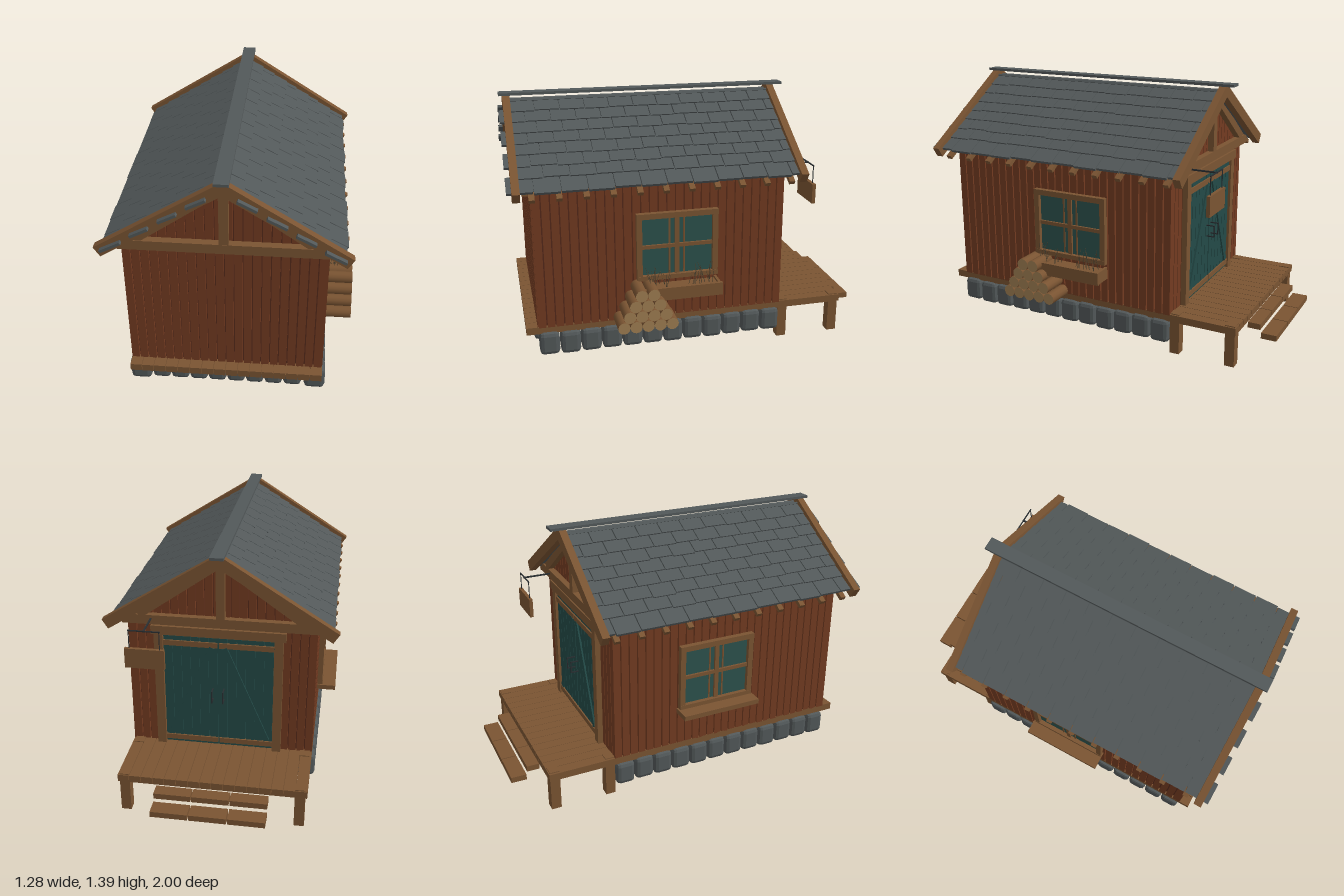
import * as THREE from 'three';
import { RoundedBoxGeometry } from 'three/addons/geometries/RoundedBoxGeometry.js';

const mat = (name, color) => {
  const m = new THREE.MeshStandardMaterial({ color });
  m.name = name;
  return m;
};

export function createModel() {
  const M = {
    red: mat('red boards', 0x733b21),
    gap: mat('dark board gaps', 0x55291a),
    wood: mat('timber', 0x7a5432),
    slate: mat('slate and stone', 0x525859),
    door: mat('door green', 0x234a47),
    glass: mat('window glass', 0x2c524d),
    cut: mat('cut log end', 0xa07e52),
    iron: mat('dark iron', 0x2a2f32),
    twig: mat('plant twigs', 0x4c4230),
    boat: mat('boat timber', 0xa66c38),
  };
  const root = new THREE.Group();
  root.name = 'boathouse';
  const group = (name) => { const g = new THREE.Group(); g.name = name; root.add(g); return g; };
  const add = (parent, name, geo, material) => {
    const m = new THREE.Mesh(geo, material);
    m.name = name;
    parent.add(m);
    return m;
  };
  // box given by its min and max corners
  const box = (parent, name, material, x0, x1, y0, y1, z0, z1) => {
    const m = add(parent, name, new THREE.BoxGeometry(x1 - x0, y1 - y0, z1 - z0), material);
    m.position.set((x0 + x1) / 2, (y0 + y1) / 2, (z0 + z1) / 2);
    return m;
  };
  let seed = 7;
  const rnd = () => (seed = (seed * 16807) % 2147483647) / 2147483647;

  const CX = -0.025, HW = 0.505, ZF = 0.88, ZB = -0.475;
  const RIDGE = 1.395, SLOPE = 0.63, A = Math.atan(SLOPE), C = Math.cos(A), S = Math.sin(A);

  // box lying on a roof slope: d runs down from the ridge, off is height above the slope line
  const onSlope = (parent, name, material, s, d0, d1, off, thick, z0, z1, tilt = 0) => {
    const d = (d0 + d1) / 2;
    const m = add(parent, name, new THREE.BoxGeometry(d1 - d0, thick, z1 - z0), material);
    m.position.set(CX + s * (d * C + off * S), RIDGE - d * S + off * C, (z0 + z1) / 2);
    m.rotation.z = -s * (A - tilt);
    return m;
  };

  // floor planks running through to the rear deck
  const floor = group('floor');
  for (let i = 0; i < 16; i++) {
    const x = -0.53 + i * 0.0632;
    box(floor, 'floorPlank', M.wood, x, x + 0.0602, 0.19, 0.23, -0.845, 0.94);
  }
  box(floor, 'subfloor', M.wood, CX - 0.49, CX + 0.49, 0.184, 0.2, -0.48, 0.92);
  box(floor, 'deckJoist', M.wood, CX - 0.49, CX + 0.49, 0.175, 0.195, -0.825, -0.8);
  for (const s of [-1, 1]) {
    for (const z of [-0.5, -0.812]) {
      const x = CX + s * 0.467;
      box(floor, 'deckLeg', M.wood, x - 0.027, x + 0.027, 0.005, 0.235, z - 0.027, z + 0.027);
    }
  }
  const steps = group('steps');
  for (let i = 0; i < 3; i++) {
    const x = -0.33 + i * 0.202;
    box(steps, 'upperStep', M.wood, x, x + 0.196, 0.148, 0.18, -0.91, -0.84);
    box(steps, 'lowerStep', M.wood, x, x + 0.196, 0.1, 0.132, -1, -0.915);
  }

  // chamfered foundation stones
  const base = group('foundation');
  const stone = (x, y, z, w, h, d) => {
    const geo = new RoundedBoxGeometry(w, h, d, 1, 0.022);
    geo.computeVertexNormals();
    add(base, 'stone', geo, M.slate).position.set(x, y, z);
  };
  for (let i = 0; i < 12; i++) {
    for (const s of [-1, 1]) stone(CX + s * 0.468, 0.127 + rnd() * 0.006, 0.82 - i * 0.1125, 0.112, 0.13, 0.106);
  }
  for (let i = 0; i < 8; i++) {
    for (const z of [0.845, -0.445]) stone(CX - 0.35 + i * 0.1, 0.145, z, 0.097, 0.092, 0.1);
  }

  // vertical wall boards; gable boards rise to the roof
  const walls = group('walls');
  const N = 22, bw = (2 * HW) / N;
  for (let i = 0; i < N; i++) {
    const x = CX - HW + i * bw;
    const reach = Math.max(Math.abs(x - CX), Math.abs(x + bw - CX));
    const top = Math.min(RIDGE - 0.07 - SLOPE * reach, 1.33);
    box(walls, 'frontBoard', M.red, x, x + bw - 0.006, 0.225, top, ZF - 0.02, ZF);
    box(walls, 'backBoard', M.red, x, x + bw - 0.006, 0.225, top, ZB, ZB + 0.02);
  }
  const gable = new THREE.Shape([[-0.49, 0.22], [0.49, 0.22], [0.49, 1.0], [0, 1.31], [-0.49, 1.0]]
    .map(([x, y]) => new THREE.Vector2(x, y)));
  for (const z of [ZF - 0.027, ZB + 0.017]) {
    add(walls, 'gableBacking', new THREE.ExtrudeGeometry(gable, { depth: 0.01, bevelEnabled: false }), M.gap)
      .position.set(CX, 0, z);
  }
  const NS = 29, sw = (ZF - ZB) / NS;
  for (const s of [-1, 1]) {
    const x = CX + s * (HW - 0.01);
    for (let i = 0; i < NS; i++) {
      const z = ZB + i * sw;
      box(walls, 'sideBoard', M.red, x - 0.01, x + 0.01, 0.225, 1.0, z, z + sw - 0.007);
    }
    box(walls, 'sideBacking', M.gap, x - s * 0.012 - 0.005, x - s * 0.012 + 0.005, 0.22, 1.0, ZB + 0.01, ZF - 0.01);
  }

  // roof: underlay, rafter tails, staggered slates, barge boards and gable trusses
  const roof = group('roof');
  for (const s of [-1, 1]) {
    onSlope(roof, 'underlay', M.slate, s, 0, 0.68, -0.044, 0.012, -0.53, 0.94);
    for (let i = 0; i < 11; i++) {
      const z = -0.485 + i * 0.136;
      onSlope(roof, 'rafter', M.wood, s, 0.5, 0.735, -0.054, 0.022, z - 0.015, z + 0.015);
    }
    for (let r = 0; r < 8; r++) {
      const d = (0.54 - r * 0.068) / C;
      const start = r % 2 ? -0.54 : -0.485;
      const end = r === 0 ? 0.064 : 0.045;
      for (let i = 0; i < 11; i++) {
        const z = start + i * 0.135;
        onSlope(roof, 'slateTile', M.slate, s, d - 0.05, d + end + rnd() * 0.01, -0.03, 0.014, z, z + 0.13, 0.08);
      }
      if (r % 2 === 0) onSlope(roof, 'slateTile', M.slate, s, d - 0.05, d + end, -0.03, 0.014, -0.53, -0.49, 0.08);
    }
    for (const z of [0.93, -0.57]) onSlope(roof, 'bargeBoard', M.wood, s, 0, 0.73, -0.03, 0.06, z, z + 0.04);
    for (const z of [ZF, ZB - 0.035]) {
      onSlope(roof, 'trussRafter', M.wood, s, 0.04, 0.57, -0.069, 0.047, z, z + 0.035, -0.055);
    }
  }
  for (const z of [ZF, ZB - 0.035]) {
    box(roof, 'tieBeam', M.wood, CX - 0.527, CX + 0.527, 0.968, 1.02, z, z + 0.04);
    box(roof, 'kingPost', M.wood, CX - 0.023, CX + 0.023, 1.02, 1.345, z, z + 0.038);
  }
  box(roof, 'ridgeCap', M.slate, CX - 0.036, CX + 0.036, 1.384, 1.398, -0.62, 0.99);

  // side windows
  for (const s of [-1, 1]) {
    const win = group(s > 0 ? 'leftWindow' : 'rightWindow');
    const wx = CX + s * HW;
    const part = (name, m, depth, y0, y1, z0, z1) =>
      box(win, name, m, Math.min(wx, wx + s * depth), Math.max(wx, wx + s * depth), y0, y1, z0, z1);
    part('glass', M.glass, 0.006, 0.46, 0.81, -0.085, 0.33);
    part('frameTop', M.wood, 0.03, 0.795, 0.825, -0.1, 0.345);
    part('frameBottom', M.wood, 0.03, 0.45, 0.475, -0.1, 0.345);
    for (const z of [-0.1, 0.315]) part('frameSide', M.wood, 0.028, 0.45, 0.82, z, z + 0.03);
    part('mullion', M.wood, 0.018, 0.475, 0.8, 0.112, 0.136);
    part('mullion', M.wood, 0.018, 0.625, 0.645, -0.08, 0.32);
    for (const z of [0.08, 0.16]) part('casementEdge', M.wood, 0.01, 0.475, 0.8, z, z + 0.009);
    if (s < 0) {
      part('sill', M.wood, 0.105, 0.425, 0.452, -0.11, 0.35);
      continue;
    }
    // planter box with twiggy plants
    part('planterBottom', M.wood, 0.105, 0.365, 0.38, -0.1, 0.345);
    box(win, 'planterFront', M.wood, wx + 0.096, wx + 0.114, 0.365, 0.435, -0.105, 0.35);
    for (const z of [-0.1, 0.33]) part('planterEnd', M.wood, 0.1, 0.365, 0.432, z, z + 0.015);
    part('soil', M.wood, 0.097, 0.4, 0.42, -0.09, 0.335);
    for (let i = 0; i < 30; i++) {
      const h = 0.05 + rnd() * 0.07;
      const t = add(win, 'twig', new THREE.CylinderGeometry(0.001, 0.0015, h, 4), M.twig);
      t.position.set(wx + 0.025 + rnd() * 0.05, 0.42 + h / 2, (i % 2 ? 0.0 : 0.23) + (rnd() - 0.5) * 0.14);
      t.rotation.set((rnd() - 0.5) * 0.7, 0, (rnd() - 0.5) * 0.4);
    }
  }

  // log pile
  const logs = group('logPile');
  const logGeo = new THREE.CylinderGeometry(0.033, 0.033, 0.15, 12);
  for (let r = 0; r < 4; r++) {
    for (let i = 0; i < 5 - r; i++) {
      const log = add(logs, 'log', logGeo, [M.wood, M.cut, M.cut]);
      log.rotation.z = -Math.PI / 2;
      log.position.set(0.564, 0.248 + r * 0.058, 0.443 - r * 0.032 - i * 0.065);
    }
  }

  // double doors at the rear
  const doors = group('doubleDoors');
  const DX = -0.01;
  box(doors, 'doorBacking', M.door, DX - 0.3, DX + 0.3, 0.235, 0.91, ZB - 0.008, ZB);
  for (const s of [-1, 1]) {
    for (let i = 0; i < 6; i++) {
      const x = DX + s * (0.027 + i * 0.049);
      box(doors, 'doorBoard', M.door, x - 0.0225, x + 0.0225, 0.24, 0.9, ZB - 0.016, ZB - 0.004);
    }
    const brace = add(doors, 'doorBrace', new THREE.BoxGeometry(0.03, 0.6, 0.01), M.door);
    brace.position.set(DX + s * 0.15, 0.57, ZB - 0.02);
    brace.rotation.z = s * 0.4;
    const p = DX + s * 0.322;
    box(doors, 'doorPost', M.wood, p - 0.024, p + 0.024, 0.23, 0.91, ZB - 0.03, ZB);
    for (const y of [0.27, 0.86]) {
      const x = DX + s * 0.15;
      box(doors, 'doorRail', M.wood, x - 0.146, x + 0.146, y - 0.015, y + 0.015, ZB - 0.024, ZB - 0.01);
    }
    const hx = DX + s * 0.03;
    box(doors, 'handle', M.iron, hx - 0.003, hx + 0.003, 0.53, 0.6, ZB - 0.064, ZB - 0.058);
    for (const y of [0.53, 0.594]) box(doors, 'handleMount', M.iron, hx - 0.003, hx + 0.003, y, y + 0.006, ZB - 0.06, ZB - 0.01);
  }
  box(doors, 'doorHeader', M.wood, DX - 0.36, DX + 0.36, 0.91, 0.96, ZB - 0.035, ZB);

  // hanging board on an iron bracket
  const sign = group('hangingSign');
  box(sign, 'bracketArm', M.iron, 0.341, 0.349, 0.996, 1.004, -0.67, ZB);
  box(sign, 'bracketBar', M.iron, 0.26, 0.43, 0.997, 1.003, -0.668, -0.662);
  box(sign, 'signBoard', M.wood, 0.24, 0.45, 0.79, 0.9, -0.675, -0.655);
  for (const x of [0.265, 0.425]) box(sign, 'signCord', M.iron, x - 0.002, x + 0.002, 0.9, 1.0, -0.667, -0.663);

  // stored boat: strakes showing below the floor
  const boat = group('boatStrakes');
  for (const w of [-0.1, -0.08, -0.035, 0.035, 0.08, 0.1]) {
    const pts = [-1, -0.5, 0, 0.5, 1].map((t) =>
      new THREE.Vector3(CX + w * (1 - t * t), 0.178 - 0.01 * (1 - t * t), 0.22 + t * 0.62));
    add(boat, 'strake', new THREE.TubeGeometry(new THREE.CatmullRomCurve3(pts), 20, 0.01, 6), M.boat);
  }
  return root;
}
